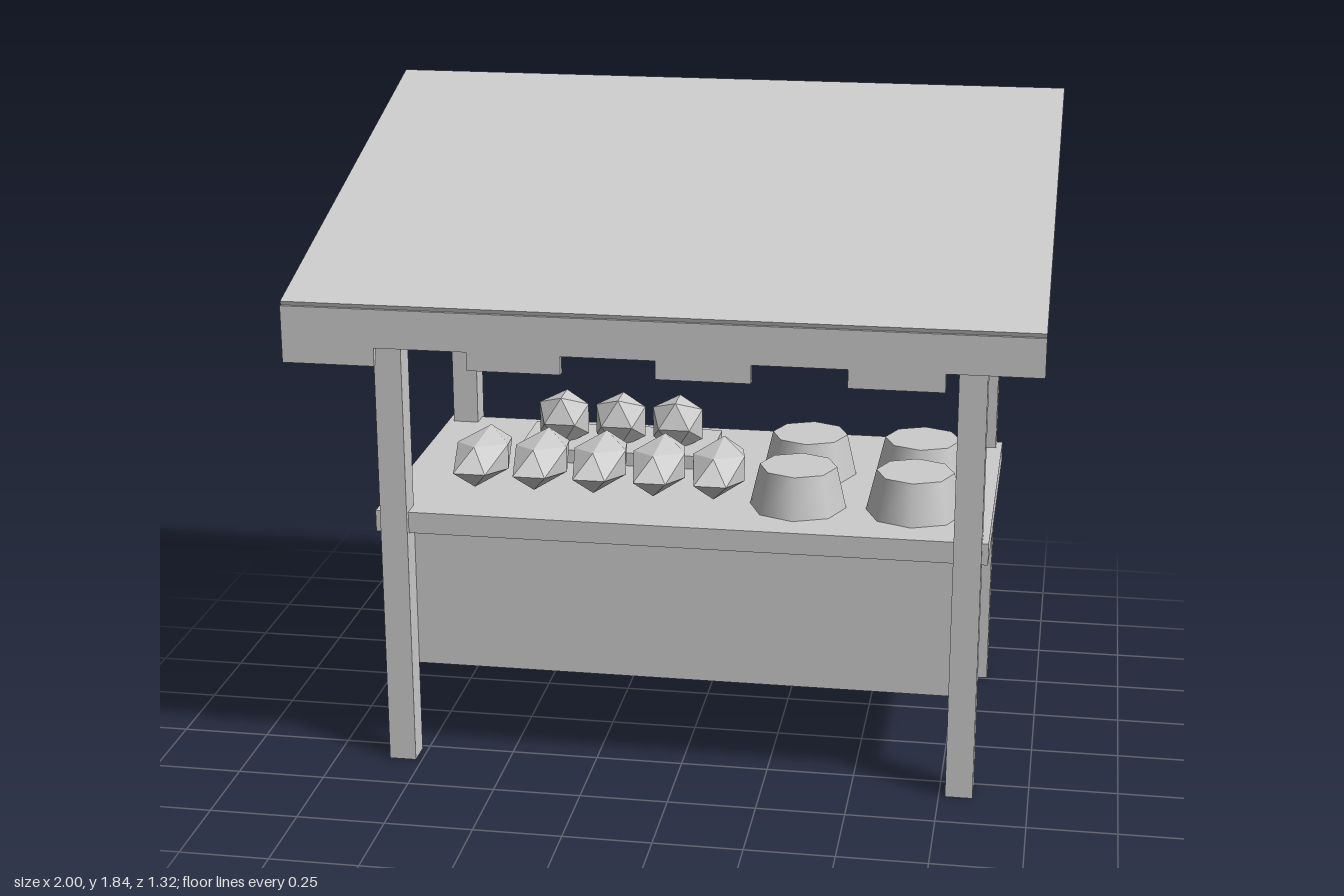
import * as THREE from 'three';

export function createModel() {
  const group = new THREE.Group();
  const grey = new THREE.MeshStandardMaterial({ color: 0xcccccc });
  grey.name = 'plainGrey';

  const add = (name, geometry, x = 0, y = 0, z = 0) => {
    const mesh = new THREE.Mesh(geometry, grey);
    mesh.name = name;
    mesh.position.set(x, y, z);
    group.add(mesh);
    return mesh;
  };
  // Box given by its limits on each axis
  const addBox = (name, x0, x1, y0, y1, z0, z1) =>
    add(name, new THREE.BoxGeometry(x1 - x0, y1 - y0, z1 - z0),
      (x0 + x1) / 2, (y0 + y1) / 2, (z0 + z1) / 2);

  // Sloping roof, low at the front
  add('roof', new THREE.BoxGeometry(2, 0.025, 1.365), 0, 1.635, 0).rotation.x = 0.284;

  // Notched valance hanging from the front edge of the roof
  const valance = new THREE.Shape();
  valance.moveTo(1, 1.445);
  valance.lineTo(-1, 1.445);
  for (let i = 0; i < 8; i++) {
    const y = i % 2 ? 1.34 : 1.29;
    valance.lineTo(-1 + i * 0.25, y);
    valance.lineTo(-0.75 + i * 0.25, y);
  }
  valance.closePath();
  add('valance', new THREE.ExtrudeGeometry(valance, { depth: 0.02, bevelEnabled: false }), 0, 0, 0.644);

  // Posts and side panels, mirrored
  for (const s of [-1, 1]) {
    const side = s > 0 ? 'left' : 'right';
    const pair = (a, b) => (s > 0 ? [a, b] : [-b, -a]);
    addBox(side + 'FrontPost', ...pair(0.768, 0.845), 0, 1.46, 0.268, 0.345);
    addBox(side + 'BackPost', ...pair(0.768, 0.845), 0, 1.77, -0.582, -0.505);
    addBox(side + 'SidePanel', ...pair(0.738, 0.768), 0.275, 0.7, -0.505, 0.239);
  }

  // Counter
  addBox('counterTop', -0.863, 0.863, 0.698, 0.76, -0.562, 0.328);
  addBox('frontPanel', -0.768, 0.768, 0.275, 0.7, 0.239, 0.269);

  // Tray under the back row of produce
  addBox('tray', -0.56, 0.017, 0.76, 0.8, -0.423, -0.165);

  // Faceted produce: long pieces in front, round ones on the tray
  const round = new THREE.IcosahedronGeometry(0.088, 0).rotateZ(Math.PI / 2);
  const long = new THREE.IcosahedronGeometry(1, 0).rotateZ(Math.PI / 2).scale(0.088, 0.0705, 0.205);
  long.computeVertexNormals();
  for (let i = 0; i < 5; i++) {
    const x = -0.619 + i * 0.1735;
    add('longProduce', long, x, 0.84, 0.035);
    if (i > 0 && i < 4) add('roundProduce', round, x, 0.86, -0.292);
  }

  // Four tapered baskets
  const basket = new THREE.CylinderGeometry(0.11, 0.1375, 0.12, 8);
  for (const x of [0.312, 0.643]) {
    for (const z of [0.098, -0.198]) add('basket', basket, x, 0.82, z);
  }

  return group;
}
